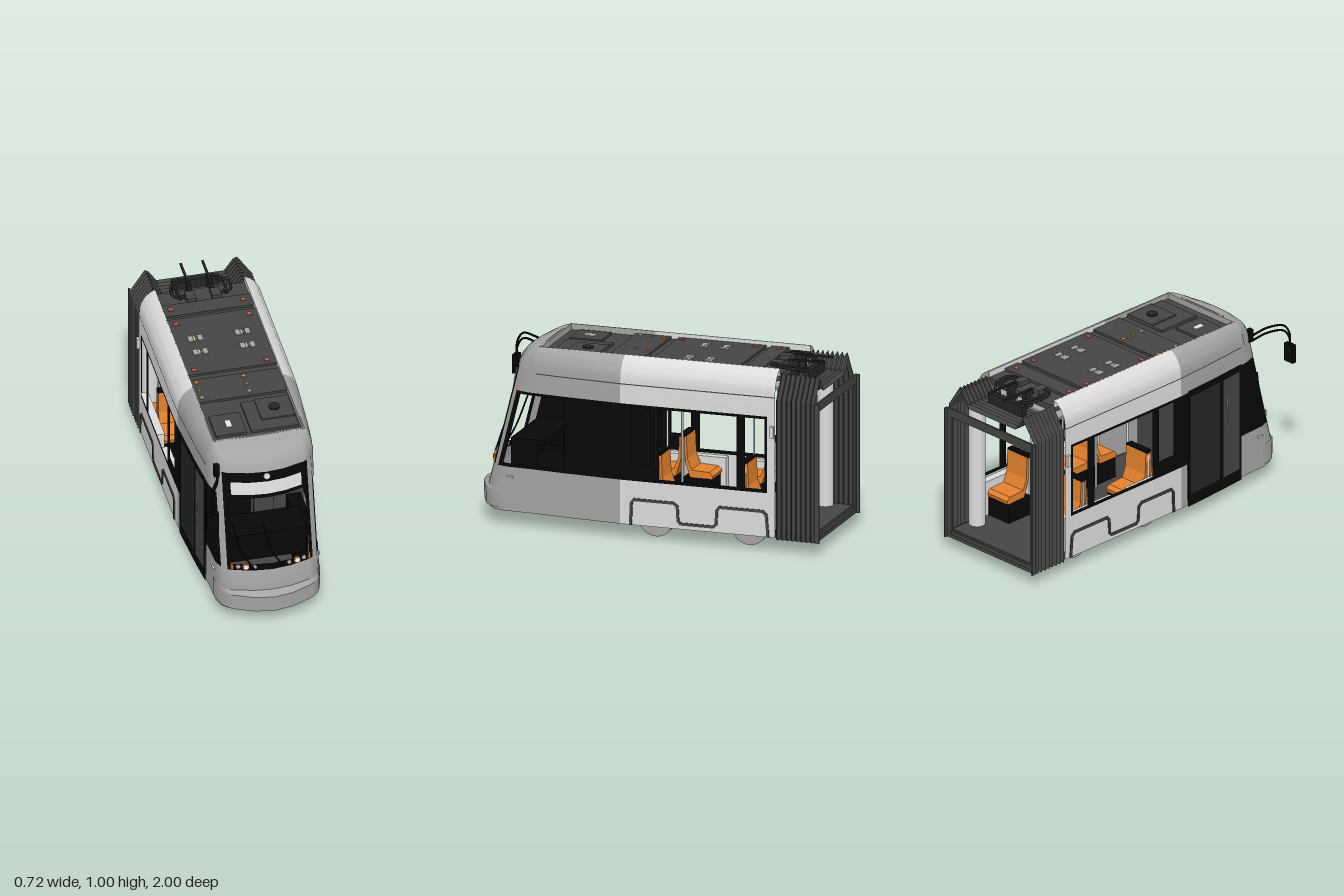
import * as THREE from 'three';
import { mergeGeometries, mergeVertices } from 'three/addons/utils/BufferGeometryUtils.js';

const mat = (name, color) => new THREE.MeshStandardMaterial({ name, color, side: THREE.DoubleSide });
const M = {
  light: mat('light grey', 0xdcdcdc), mid: mat('mid grey', 0xa4a4a4), black: mat('black', 0x070707),
  dark: mat('dark grey', 0x454545), under: mat('charcoal', 0x242424), orange: mat('orange', 0xe3812e),
  green: mat('green', 0x466822), yellow: mat('yellow', 0xa09040), red: mat('red', 0xc05a5a), white: mat('white', 0xeeeeee),
};

// Linear lookup in [key, value] pairs
function look(table, k) {
  for (let i = 1; i < table.length; i++) {
    const [a, va] = table[i - 1], [b, vb] = table[i];
    if (k <= b) return va + (vb - va) * Math.max(0, (k - a) / (b - a));
  }
  return table[table.length - 1][1];
}

// Body skin: nose depth, roof tuck-in and plan columns (front ones relative to the nose)
const NOSE = [[0.08, 0.95], [0.22, 0.955], [0.88, 0.79], [0.92, 0.772], [0.95, 0.745], [0.97, 0.718], [0.99, 0.672], [1, 0.62]];
const TUCK = [[0.87, 0], [0.92, 0.1], [0.965, 0.4], [0.99, 0.75], [1, 1]];
const FRONT = [[0, 0], [0.1, -0.01], [0.215, -0.043], [0.235, -0.056], [0.264, -0.082], [0.284, -0.14]];
const SIDE = [[0.29, 0.66], [0.294, 0.62], [0.31, 0.46], [0.33, 0.18], [0.333, 0.13], [0.334, 0.07], [0.335, -0.04],
  [0.335, -0.09], [0.335, -0.53], [0.335, -0.58], [0.335, -0.69], [0.335, -0.705], [0.335, -0.75]];
const LAST = 18;

function column(i, y, out) {
  const nose = look(NOSE, y), t = look(TUCK, y), flat = 1 - 0.9 * t;
  if (i < 6) {
    const [x, z] = FRONT[i];
    return [x * (1 - 0.117 * t) + (i > 3 ? out * 0.7 : 0), nose + z * flat + out];
  }
  const [x, z] = SIDE[i - 6];
  return [x + (0.25 - x) * t + out, Math.min(z, nose - 0.14 * flat - 0.004 * (i - 5))];
}
// Point on the skin; negative columns lie on the -x side
function skin(c, y, out = 0) {
  const a = Math.abs(c), i = Math.min(Math.floor(a), LAST - 1), f = a - i;
  const p = column(i, y, out), q = column(i + 1, y, out);
  return [(c < 0 ? -1 : 1) * (p[0] + (q[0] - p[0]) * f), y, p[2 - 1] + (q[1] - p[1]) * f];
}
function patch(c0, c1, ys, out = 0, place = skin) {
  const cs = [c0];
  for (let c = Math.floor(c0) + 1; c < c1; c++) cs.push(c);
  cs.push(c1);
  const pos = [], idx = [], n = cs.length;
  for (const y of ys) for (const c of cs) pos.push(...place(c, y, out));
  for (let r = 0; r < ys.length - 1; r++) for (let k = 0; k < n - 1; k++) {
    const a = r * n + k;
    idx.push(a, a + 1, a + n, a + 1, a + n + 1, a + n);
  }
  const g = new THREE.BufferGeometry();
  g.setAttribute('position', new THREE.Float32BufferAttribute(pos, 3));
  g.setIndex(idx);
  return g;
}
const both = (c0, c1, ys, out) => [patch(c0, c1, ys, out), patch(-c1, -c0, ys, out)];
const frontCol = x => Math.sign(x) * look(FRONT.map((p, i) => [p[0], i]), Math.abs(x));
// Bumper point: bulges forward in the middle, upper edge drawn back to the nose
function bumperPoint(c, y) {
  const [x, , z] = skin(c, y);
  return [x * 1.015, y, z + (y > 0.2 ? 0.003 : 0.045) * (1 - (x / 0.3) ** 2)];
}

export function createModel() {
  const g = new THREE.Group();
  const add = (name, geo, m, x = 0, y = 0, z = 0) => {
    const o = new THREE.Mesh(geo, m);
    o.name = name; o.position.set(x, y, z); g.add(o);
    return o;
  };
  const box = (name, m, x0, x1, y0, y1, z0, z1) =>
    add(name, new THREE.BoxGeometry(x1 - x0, y1 - y0, z1 - z0), m, (x0 + x1) / 2, (y0 + y1) / 2, (z0 + z1) / 2);
  const tube = (name, m, pts, r) => add(name, new THREE.TubeGeometry(
    new THREE.CatmullRomCurve3(pts.map(p => new THREE.Vector3(...p))), 20, r, 6), m);
  const shell = (name, m, patches) => {
    const geo = mergeVertices(mergeGeometries(patches.flat()), 1e-4);
    geo.computeVertexNormals();
    return add(name, geo, m);
  };
  const shape = pts => new THREE.Shape(pts.map(p => new THREE.Vector2(...p)));

  // Painted shell
  const LOW = [0.08, 0.22, 0.325], TOP = [0.88, 0.9, 0.92, 0.935, 0.95, 0.965, 0.98, 0.99, 1];
  shell('cabShell', M.mid, [patch(-7, 10, LOW), patch(-10, -9, LOW), both(3, 10, [0.75, 0.88]),
    both(3, 4, [0.325, 0.75]), patch(-10, 10, TOP)]);
  shell('saloonShell', M.light, [both(10, LAST, LOW), both(10, LAST, [0.75, 0.88]), both(10, LAST, TOP),
    both(17, LAST, [0.325, 0.75])]);
  // Windscreen mask and black window band with openings
  const OPEN = [0.345, 0.735];
  shell('windscreenMask', M.black, [patch(-3, 3, [0.325, 0.36]), patch(-3, 3, [0.735, 0.88]), both(2, 3, [0.36, 0.735])]);
  shell('windowBand', M.black, [both(4, 17, [0.325, 0.345]), both(4, 17, [0.735, 0.75]), patch(4, 4.5, OPEN),
    patch(8, 10, OPEN), patch(-7, -4, OPEN), patch(-10, -9, OPEN),
    ...[10, 12, 14, 16].map(c => both(c, c + 1, OPEN)), both(11, 12, [0.345, 0.42])]);
  shell('gutterLine', M.dark, [both(7, LAST, [0.856, 0.862], 0.003)]);
  // Double door on the -x side
  shell('door', M.black, [patch(-9, -7, [0.07, 0.4, 0.76], 0.003)]);
  shell('doorGlassRear', M.under, [patch(-8.92, -8.08, [0.14, 0.72], 0.005)]);
  shell('doorGlassFront', M.dark, [patch(-7.95, -7.12, [0.14, 0.72], 0.005)]);
  tube('doorHandle', M.mid, [[-0.306, 0.36, 0.5], [-0.314, 0.4, 0.5], [-0.314, 0.56, 0.5], [-0.306, 0.6, 0.5]], 0.004);

  // Front display and lamps
  shell('destinationDisplay', M.light, [patch(frontCol(-0.195), frontCol(0.195), [0.758, 0.828], 0.005)]);
  const lamp = (name, m, x, y, r, out) => {
    const p = skin(frontCol(x), y, out);
    add(name, new THREE.CylinderGeometry(r, r, 0.012, 20).rotateX(Math.PI / 2 - 0.24), m, ...p);
  };
  lamp('topLamp', M.light, 0, 0.857, 0.018, 0.002);
  for (const s of [-1, 1]) {
    lamp('headlightRing', M.orange, s * 0.142, 0.348, 0.018, 0.003);
    lamp('headlight', M.white, s * 0.142, 0.348, 0.013, 0.006);
    for (const x of [0.095, 0.182]) lamp('auxiliaryLamp', M.mid, s * x, 0.348, 0.012, 0.003);
    const p = skin(s * frontCol(0.214), 0.348, 0.003);
    add('indicator', new THREE.BoxGeometry(0.011, 0.036, 0.01), M.orange, ...p);
    box('sideMarker', M.light, s * 0.289 - 0.006, s * 0.289 + 0.006, 0.266, 0.276, 0.755, 0.79);
  }

  // Bumper with a sharp sloping ledge
  shell('bumper', M.mid, [patch(-5.3, 5.3, [0.095, 0.19], 0, bumperPoint)]);
  shell('bumperLedge', M.mid, [patch(-5.3, 5.3, [0.19, 0.212], 0, bumperPoint)]);
  const lip = [];
  for (const c of [-5.3, -5, -4, -3, -2, -1, 0, 1, 2, 3, 4, 5, 5.3]) { const p = bumperPoint(c, 0.095); lip.push([p[0], -p[2]]); }
  add('bumperUnderside', new THREE.ShapeGeometry(shape(lip)).rotateX(-Math.PI / 2), M.dark, 0, 0.095, 0);
  for (const x of [-0.1, 0.06]) {
    const wipe = [[x, 0.34], [x - 0.06, 0.44], [x - 0.1, 0.6]].map(([a, y]) => skin(frontCol(a), y, 0.015));
    tube('wiper', M.black, wipe, 0.005);
  }

  // Mirror on curved arms
  for (const d of [0, 0.03]) tube('mirrorArm', M.black, [[-0.255, 0.87 - d, 0.73], [-0.285, 0.9 - d, 0.83],
    [-0.325, 0.9 - d, 0.91], [-0.335, 0.85 - d, 0.945], [-0.335, 0.77, 0.95]], 0.006);
  box('mirror', M.black, -0.367, -0.303, 0.675, 0.78, 0.937, 0.965);
  box('mirrorBracket', M.black, -0.275, -0.245, 0.85, 0.92, 0.705, 0.735);

  // Underbody, floor and ceiling
  const plan = [];
  for (let c = -LAST; c <= LAST; c++) { const p = skin(c, 0.08); plan.push([p[0] * 0.995, -p[2]]); }
  add('underbody', new THREE.ExtrudeGeometry(shape(plan), { depth: 0.03, bevelEnabled: false }).rotateX(-Math.PI / 2), M.dark, 0, 0.08, 0);
  box('gangwayFloor', M.dark, -0.32, 0.32, 0.075, 0.11, -0.98, -0.75);
  box('saloonFloor', M.dark, -0.3, 0.3, 0.11, 0.12, -0.97, 0.45);
  box('ceiling', M.mid, -0.27, 0.27, 0.885, 0.9, -0.75, 0.6);
  for (const x of [-0.13, 0.13]) for (const z of [-0.5, -0.2, 0.1])
    add('ceilingLight', new THREE.CapsuleGeometry(0.025, 0.12, 4, 10).rotateX(Math.PI / 2).scale(1, 0.3, 1), M.yellow, x, 0.884, z);

  // Wheels and stepped skirt trim
  const trim = [[0.07, 0.085], [0.065, 0.205], [0.05, 0.222], [-0.175, 0.222], [-0.195, 0.205], [-0.2, 0.125], [-0.215, 0.11],
    [-0.4, 0.11], [-0.415, 0.125], [-0.42, 0.205], [-0.435, 0.222], [-0.68, 0.222], [-0.7, 0.205], [-0.71, 0.085]];
  for (const s of [-1, 1]) {
    for (const z of [-0.04, -0.57])
      add('wheel', new THREE.CylinderGeometry(0.1, 0.1, 0.022, 32).rotateZ(Math.PI / 2), M.mid, s * 0.226, 0.1, z);
    for (let i = 1; i < trim.length; i++) {
      const [z0, y0] = trim[i - 1], [z1, y1] = trim[i];
      const bar = add('skirtTrim', new THREE.BoxGeometry(0.012, 0.015, Math.hypot(z1 - z0, y1 - y0) + 0.008),
        M.dark, s * 0.335, (y0 + y1) / 2, (z0 + z1) / 2);
      bar.rotation.x = -Math.atan2(y1 - y0, z1 - z0);
    }
    box('sideCamera', M.light, s * 0.344 - 0.009, s * 0.344 + 0.009, 0.635, 0.7, -0.745, -0.725);
  }

  // Back-to-back seats over the wheels, with light shells and black grips
  const seat = new THREE.ExtrudeGeometry(shape([[0.008, 0.46], [0.02, 0.465], [0.026, 0.34], [0.05, 0.28], [0.15, 0.275],
    [0.17, 0.255], [0.165, 0.235], [0.04, 0.24], [0.012, 0.33]]),
  { depth: 0.15, bevelEnabled: false }).translate(0, 0, -0.075).rotateY(-Math.PI / 2);
  for (const z of [-0.065, -0.555]) for (const s of [-1, 1]) {
    box('seatBase', M.black, s * 0.215 - 0.085, s * 0.215 + 0.085, 0.12, 0.24, z - 0.16, z + 0.16);
    for (const turn of [0, Math.PI]) add('seat', seat, M.orange, s * 0.205, 0, z).rotation.y = turn;
    box('seatShell', M.light, s * 0.205 - 0.075, s * 0.205 + 0.075, 0.24, 0.45, z - 0.007, z + 0.007);
    box('seatGrip', M.black, s * 0.205 - 0.075, s * 0.205 + 0.075, 0.46, 0.475, z - 0.02, z + 0.02);
    box('wallBench', M.light, s * 0.307 - 0.022, s * 0.307 + 0.022, 0.12, 0.32, z - 0.19, z + 0.19);
    add('grabPole', new THREE.CylinderGeometry(0.006, 0.006, 0.77, 10), M.light, s * 0.12, 0.505, z);
  }
  box('passengerDisplay', M.light, -0.06, 0.06, 0.68, 0.74, -0.43, -0.19);
  for (const z of [-0.51, -0.19]) box('displayEnd', M.black, -0.06, 0.06, 0.67, 0.74, z, z + 0.08);

  // Cab interior
  box('cabWall', M.dark, 0, 0.29, 0.11, 0.88, 0.42, 0.435);
  box('cabPartition', M.black, -0.29, 0, 0.11, 0.88, 0.42, 0.435);
  box('dashboard', M.black, -0.22, 0.22, 0.3, 0.47, 0.6, 0.79);
  box('cabConsole', M.black, 0.19, 0.27, 0.12, 0.44, 0.45, 0.62);
  box('cabPost', M.dark, -0.275, -0.265, 0.5, 0.73, 0.565, 0.605);
  box('driverSeatBack', M.dark, 0.01, 0.12, 0.3, 0.56, 0.44, 0.46);
  box('driverHeadrest', M.dark, 0.03, 0.1, 0.55, 0.61, 0.44, 0.455);
  box('driverSeat', M.dark, 0.01, 0.12, 0.26, 0.31, 0.44, 0.57);
  add('greenPad', new THREE.SphereGeometry(1, 20, 14).scale(0.03, 0.04, 0.03), M.green, -0.118, 0.66, 0.472);

  // Pleated gangway bellows
  const outline = d => [[0.34 - d, 0.07], [0.34 - d, 0.85 - d * 0.5], [0.255 - d, 0.98 - d], [0.2 - d, 0.9 - d]];
  const pos = [], idx = [], N = 17;
  for (let i = 0; i < N; i++) {
    const h = outline(i % 2 ? 0 : 0.022), z = -0.75 - i * 0.22 / (N - 1);
    for (const [x, y] of [...h, ...h.map(p => [-p[0], p[1]]).reverse()]) pos.push(x, y, z);
    if (i) for (let k = 0; k < 7; k++) { const a = i * 8 + k, b = a - 8; idx.push(b, a, b + 1, a, a + 1, b + 1); }
  }
  const pleats = new THREE.BufferGeometry();
  pleats.setAttribute('position', new THREE.Float32BufferAttribute(pos, 3));
  pleats.setIndex(idx);
  const creased = pleats.toNonIndexed();
  creased.computeVertexNormals();
  add('bellows', creased, M.dark);
  const frame = shape([[-0.335, 0.07], [0.335, 0.07], [0.335, 0.84], [-0.335, 0.84]]);
  frame.holes.push(new THREE.Path([[-0.3, 0.09], [-0.3, 0.79], [0.3, 0.79], [0.3, 0.09]].map(p => new THREE.Vector2(...p))));
  add('gangwayFrame', new THREE.ExtrudeGeometry(frame, { depth: 0.01, bevelEnabled: false }), M.dark, 0, 0, -0.982);
  for (const s of [-1, 1]) {
    box('gangwayEdge', M.dark, s * 0.331 - 0.005, s * 0.331 + 0.005, 0.07, 0.84, -1, -0.975);
    add('gangwayColumn', new THREE.CylinderGeometry(0.045, 0.045, 0.74, 20), M.light, s * 0.255, 0.48, -0.83);
  }

  // Recessed roof deck with its rim, equipment covers and fittings
  box('roofDeck', M.dark, -0.25, 0.25, 0.93, 0.966, -0.75, 0.612);
  for (const s of [-1, 1]) {
    box('deckRimFront', M.mid, s * 0.248 - 0.003, s * 0.248 + 0.003, 0.96, 1, 0.13, 0.612);
    box('deckRimRear', M.light, s * 0.248 - 0.003, s * 0.248 + 0.003, 0.96, 1, -0.75, 0.13);
  }
  box('deckRimEnd', M.mid, -0.25, 0.25, 0.96, 1, 0.606, 0.616);
  for (const [x0, x1, z0, z1] of [[-0.245, 0.245, -0.63, -0.53], [-0.245, 0.245, -0.5, -0.005], [-0.245, 0.245, 0.04, 0.24],
    [-0.22, -0.05, 0.37, 0.55], [-0.025, 0.235, 0.29, 0.55]]) box('roofCover', M.dark, x0, x1, 0.96, 0.979, z0, z1);
  box('raisedCover', M.dark, 0.05, 0.235, 0.975, 0.987, 0.29, 0.47);
  add('roofVent', new THREE.CylinderGeometry(0.03, 0.03, 0.012, 20), M.under, 0.14, 0.989, 0.38);
  const fitting = (m, x, z, w, d) => box('roofFitting', m, x - w, x + w, 0.975, 0.984, z - d, z + d);
  fitting(M.white, -0.132, 0.46, 0.016, 0.03);
  for (const x of [-0.13, 0.13]) for (const z of [-0.31, -0.19]) {
    for (const d of [-0.027, 0.027]) fitting(M.mid, x + d, z, 0.014, 0.024);
    fitting(M.white, x - 0.006, z, 0.005, 0.02);
    fitting(M.yellow, x + 0.006, z, 0.005, 0.012);
  }
  for (const s of [-1, 1]) for (const z of [-0.585, -0.455, -0.04]) fitting(M.red, s * 0.2, z, 0.014, 0.012);
  for (const x of [-0.215, 0.045]) {
    fitting(M.orange, x, 0.07, 0.012, 0.01);
    fitting(M.yellow, x, 0.14, 0.01, 0.008);
    fitting(M.mid, x, 0.205, 0.012, 0.01);
  }
  for (const s of [-1, 1]) {
    box('cableRail', M.under, s * 0.06 - 0.006, s * 0.06 + 0.006, 0.995, 1.005, -0.94, -0.73);
    box('cableStand', M.under, s * 0.06 - 0.012, s * 0.06 + 0.012, 0.9, 0.998, -0.79, -0.73);
    box('cableBox', M.dark, s * 0.07 - 0.025, s * 0.07 + 0.025, 0.96, 0.99, -0.71, -0.64);
    for (const d of [0, 0.03]) tube('roofCable', M.under, [[s * (0.09 + d), 0.98, -0.66], [s * (0.13 + d), 0.985, -0.7],
      [s * (0.12 + d), 0.975, -0.79], [s * (0.06 + d), 0.96, -0.85]], 0.008);
  }
  box('cableCrossbar', M.under, -0.13, 0.13, 0.9, 0.96, -0.87, -0.84);

  g.position.x = 0.007;
  const model = new THREE.Group();
  model.name = 'tramSection';
  model.add(g);
  return model;
}
